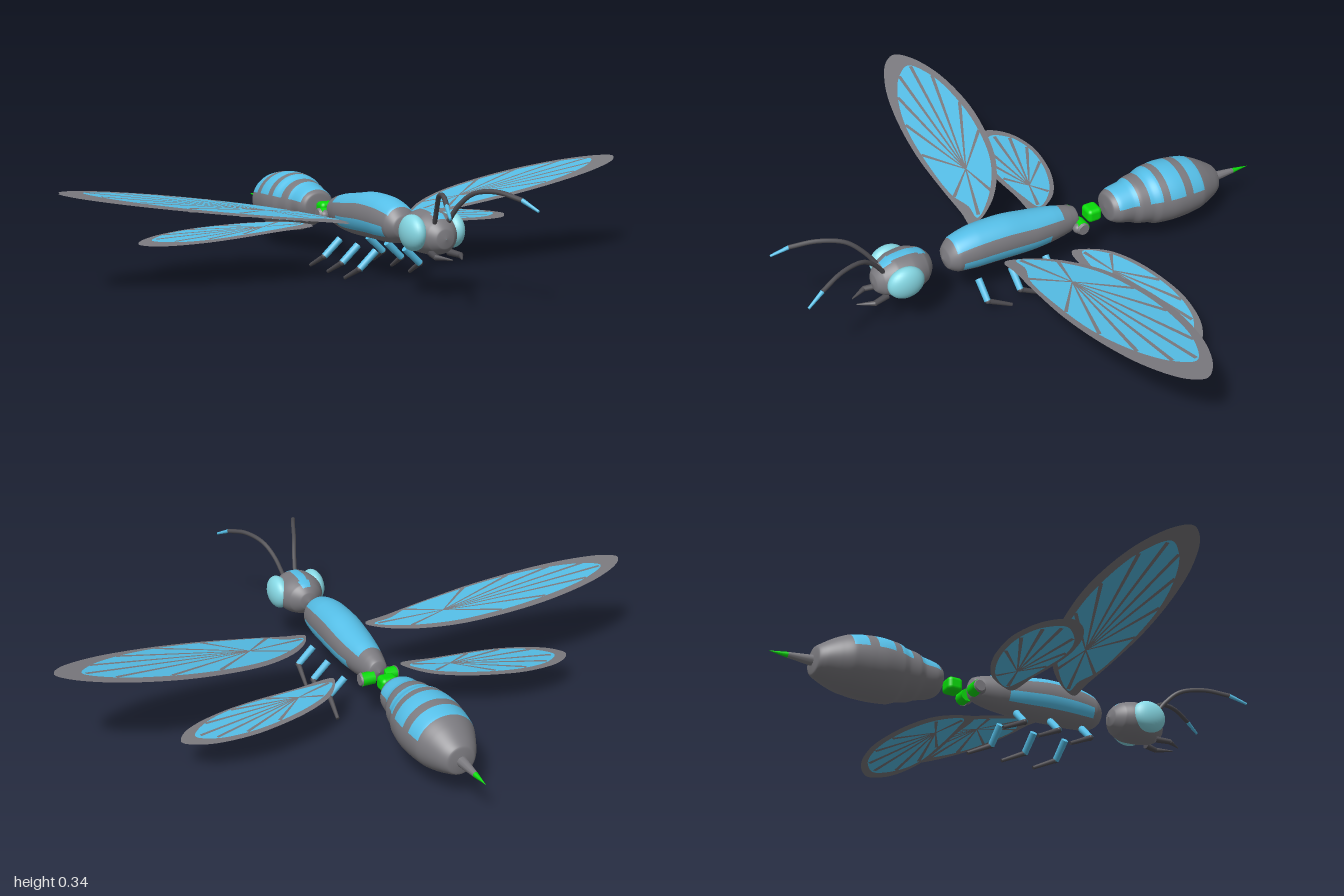
import * as THREE from 'three';
import { RoundedBoxGeometry } from 'three/addons/geometries/RoundedBoxGeometry.js';

const mat = (name, color, side = THREE.FrontSide) => {
  const m = new THREE.MeshStandardMaterial({ color, side });
  m.name = name;
  return m;
};

export function createModel() {
  const model = new THREE.Group();
  const gray = mat('bodyGray', 0x7b7a7f, THREE.DoubleSide);
  const blue = mat('markingBlue', 0x58c4ee, THREE.DoubleSide);
  const dark = mat('limbDark', 0x4e4d52);
  const eyeBlue = mat('eyeBlue', 0x86d8e4);
  const green = mat('jointGreen', 0x08dc08);

  const add = (name, geo, material, parent = model) => {
    const m = new THREE.Mesh(geo, material);
    m.name = name;
    parent.add(m);
    return m;
  };
  const V = (x, y, z) => new THREE.Vector3(x, y, z);

  // Smooth body through sections [z, centre y, half width, half height];
  // isBlue(angle from top, z, x) picks the marked faces.
  const loft = (name, sections, isBlue) => {
    const rows = 100, segs = 64;
    const a = new THREE.CatmullRomCurve3(sections.map(s => V(s[0], s[1], 0)));
    const b = new THREE.CatmullRomCurve3(sections.map(s => V(s[2], s[3], 0)));
    const pos = [], plain = [], marked = [];
    for (let i = 0; i <= rows; i++) {
      const c = a.getPoint(i / rows), r = b.getPoint(i / rows);
      for (let j = 0; j < segs; j++) {
        const t = (j / segs) * Math.PI * 2;
        pos.push(r.x * Math.sin(t), c.y + r.y * Math.cos(t), c.x);
        if (i === rows) continue;
        const p = i * segs + j, q = i * segs + (j + 1) % segs;
        const tm = ((j + 0.5) / segs) * Math.PI * 2;
        const ang = Math.min(tm, Math.PI * 2 - tm) * 180 / Math.PI;
        const list = isBlue(ang, c.x, Math.abs(r.x * Math.sin(tm))) ? marked : plain;
        list.push(p, q, p + segs, q, q + segs, p + segs);
      }
    }
    const g = new THREE.BufferGeometry();
    g.setAttribute('position', new THREE.Float32BufferAttribute(pos, 3));
    g.setIndex([...plain, ...marked]);
    g.addGroup(0, plain.length, 0);
    g.addGroup(plain.length, marked.length, 1);
    g.computeVertexNormals();
    add(name, g, [gray, blue]);
  };

  // Tapered rod between two points
  const rod = (name, p, q, r0, r1, material, parent) => {
    const d = q.clone().sub(p);
    const m = add(name, new THREE.CylinderGeometry(r1, r0, d.length(), 10), material, parent);
    m.position.copy(p).add(q).multiplyScalar(0.5);
    m.quaternion.setFromUnitVectors(V(0, 1, 0), d.normalize());
  };
  const ball = (name, p, s, material, parent) => {
    const m = add(name, new THREE.SphereGeometry(1, 32, 20), material, parent);
    m.position.copy(p);
    m.scale.copy(s);
  };

  // Head, thorax and abdomen
  loft('head', [
    [0.582, 0.185, 0.001, 0.001], [0.576, 0.185, 0.03, 0.03], [0.555, 0.188, 0.052, 0.05],
    [0.51, 0.194, 0.075, 0.066], [0.46, 0.195, 0.08, 0.068], [0.41, 0.195, 0.06, 0.055],
    [0.385, 0.195, 0.03, 0.03], [0.376, 0.195, 0.001, 0.001],
  ], (ang, z, x) => ang < 90 && x < 0.017 && z > 0.4 && z < 0.55);

  // Thorax marks: a saddle on top and a strip low on each flank
  loft('thorax', [
    [0.336, 0.185, 0.001, 0.001], [0.325, 0.185, 0.038, 0.035], [0.295, 0.19, 0.058, 0.06],
    [0.22, 0.195, 0.068, 0.072], [0.12, 0.194, 0.07, 0.074], [0.02, 0.185, 0.066, 0.068],
    [-0.06, 0.18, 0.055, 0.06], [-0.12, 0.177, 0.042, 0.048], [-0.15, 0.177, 0.032, 0.035],
    [-0.163, 0.177, 0.001, 0.001],
  ], (ang, z) => (ang < 55 && z > -0.09 && z < 0.305) || (ang > 98 && ang < 132 && z > -0.03 && z < 0.29));

  const bands = [[-0.36, -0.29], [-0.435, -0.395], [-0.52, -0.465], [-0.6, -0.55]];
  loft('abdomen', [
    [-0.268, 0.168, 0.001, 0.001], [-0.274, 0.168, 0.05, 0.045], [-0.3, 0.167, 0.066, 0.06],
    [-0.345, 0.165, 0.071, 0.071], [-0.37, 0.163, 0.082, 0.081], [-0.41, 0.161, 0.09, 0.088],
    [-0.435, 0.16, 0.1, 0.098], [-0.5, 0.159, 0.109, 0.102], [-0.545, 0.157, 0.107, 0.1],
    [-0.6, 0.154, 0.1, 0.092], [-0.64, 0.149, 0.083, 0.078], [-0.68, 0.143, 0.062, 0.058],
    [-0.7, 0.14, 0.045, 0.045], [-0.708, 0.14, 0.001, 0.001],
  ], (ang, z) => ang < 72 && bands.some(b => z > b[0] && z < b[1]));

  // Stinger and waist joint
  rod('stinger', V(0, 0.14, -0.7), V(0, 0.139, -0.785), 0.018, 0.009, gray);
  rod('stingerTip', V(0, 0.139, -0.785), V(0, 0.138, -0.845), 0.009, 0.0005, green);
  add('waistJoint', new RoundedBoxGeometry(0.058, 0.048, 0.052, 3, 0.014), green).position.set(0, 0.168, -0.218);

  // Wing: flat outline with a blue membrane and veins on both faces
  const wing = (name, side, outline, membrane, node, tips, lift) => {
    const group = new THREE.Group();
    group.name = name;
    model.add(group);
    const plate = (part, shape, off, material) => {
      const g = new THREE.ShapeGeometry(shape);
      const p = g.attributes.position;
      for (let i = 0; i < p.count; i++) {
        const x = p.getX(i), z = p.getY(i);
        p.setXYZ(i, side * x, lift(x, z) + off, z);
      }
      // Face every plate along its own offset
      const ix = g.index.array;
      if ((side > 0) === (off >= 0)) {
        for (let i = 0; i < ix.length; i += 3) [ix[i], ix[i + 1]] = [ix[i + 1], ix[i]];
      }
      g.computeVertexNormals();
      add(part, g, material, group);
    };
    const smooth = pts => new THREE.Shape(
      new THREE.CatmullRomCurve3(pts.map(p => V(p[0], p[1], 0)), true).getPoints(90)
        .slice(0, -1).map(p => new THREE.Vector2(p.x, p.y)));
    const rim = smooth(outline), skin = smooth(membrane);
    for (const f of [1, -1]) {
      plate('wingRim', rim, f * 0.002, gray);
      plate('wingMembrane', skin, f * 0.004, blue);
      for (const t of tips) {
        const a = new THREE.Vector2(...node), b = new THREE.Vector2(...t);
        const d = b.clone().sub(a).normalize(), n = new THREE.Vector2(-d.y, d.x);
        const vein = new THREE.Shape([
          a.clone().addScaledVector(n, -0.002), b.clone().addScaledVector(n, -0.006),
          b.clone().addScaledVector(n, 0.006), a.clone().addScaledVector(n, 0.002)]);
        plate('wingVein', vein, f * 0.0055, gray);
      }
    }
  };

  const foreOutline = [[0.112, 0.172], [0.125, 0.13], [0.2, 0.04], [0.34, -0.045], [0.52, -0.09],
    [0.68, -0.1], [0.86, -0.075], [0.97, -0.025], [1, 0.015], [0.97, 0.06], [0.86, 0.115],
    [0.7, 0.155], [0.5, 0.178], [0.32, 0.178], [0.18, 0.172]];
  const foreSkin = [[0.13, 0.14], [0.2, 0.06], [0.34, -0.025], [0.52, -0.068], [0.68, -0.075],
    [0.83, -0.055], [0.92, -0.005], [0.88, 0.05], [0.78, 0.105], [0.62, 0.15], [0.42, 0.167],
    [0.26, 0.163], [0.19, 0.14]];
  const foreTips = [[0.14, 0.13], [0.22, 0.04], [0.5, -0.066], [0.66, -0.076], [0.83, -0.055],
    [0.91, -0.01], [0.88, 0.05], [0.78, 0.105], [0.64, 0.145], [0.48, 0.165], [0.25, 0.162]];
  const hindOutline = [[0.122, -0.07], [0.13, -0.105], [0.18, -0.175], [0.28, -0.23], [0.42, -0.264],
    [0.5, -0.268], [0.6, -0.25], [0.66, -0.215], [0.68, -0.185], [0.655, -0.14], [0.6, -0.105],
    [0.5, -0.077], [0.4, -0.068], [0.25, -0.07]];
  const hindSkin = [[0.14, -0.1], [0.19, -0.165], [0.29, -0.217], [0.42, -0.249], [0.52, -0.25],
    [0.59, -0.23], [0.635, -0.185], [0.58, -0.122], [0.48, -0.086], [0.36, -0.081], [0.22, -0.086]];
  const hindTips = [[0.15, -0.1], [0.2, -0.17], [0.38, -0.24], [0.49, -0.25], [0.58, -0.23],
    [0.62, -0.19], [0.58, -0.127], [0.48, -0.09], [0.36, -0.084]];

  for (const s of [1, -1]) {
    const side = s > 0 ? 'left' : 'right';
    const P = (x, y, z) => V(s * x, y, z);
    wing(side + 'ForeWing', s, foreOutline, foreSkin, [0.35, 0.065], foreTips,
      (x, z) => 0.19 + 0.141 * (x - 0.112) - 0.05 * (z - 0.03));
    wing(side + 'HindWing', s, hindOutline, hindSkin, [0.27, -0.135], hindTips,
      (x, z) => 0.145 - 0.07 * (x - 0.125) - 0.05 * (z + 0.17));

    // Eye, mandible and antenna
    ball(side + 'Eye', P(0.066, 0.198, 0.495), V(0.034, 0.055, 0.062), eyeBlue);
    rod(side + 'MandibleBase', P(0.03, 0.14, 0.545), P(0.042, 0.137, 0.595), 0.011, 0.009, dark);
    rod(side + 'MandibleTip', P(0.042, 0.137, 0.592), P(0.016, 0.135, 0.645), 0.009, 0.002, dark);
    const feeler = new THREE.CatmullRomCurve3([P(0.022, 0.228, 0.548), P(0.037, 0.285, 0.588),
      P(0.058, 0.325, 0.635), P(0.09, 0.338, 0.715), P(0.125, 0.322, 0.795)]);
    add(side + 'Antenna', new THREE.TubeGeometry(feeler, 24, 0.0075, 8), dark);
    rod(side + 'AntennaTip', P(0.125, 0.322, 0.794), P(0.146, 0.295, 0.85), 0.007, 0.004, blue);

    // Side joints behind the thorax
    rod(side + 'SideJoint', P(0.018, 0.161, -0.153), P(0.06, 0.161, -0.153), 0.022, 0.022, green);
    rod(side + 'SideJointCap', P(0.058, 0.161, -0.151), P(0.066, 0.161, -0.151), 0.023, 0.019, gray);
    ball(side + 'SideJointFront', P(0.044, 0.159, -0.142), V(0.019, 0.018, 0.02), gray);

    // Three legs
    for (const z of [0.235, 0.115, -0.012]) {
      const leg = new THREE.Group();
      leg.name = side + 'Leg';
      model.add(leg);
      rod('upperLeg', P(0.052, 0.1, z), P(0.108, 0.047, z - 0.002), 0.012, 0.011, blue, leg);
      ball('knee', P(0.108, 0.047, z - 0.003), V(0.01, 0.01, 0.01), dark, leg);
      rod('lowerLeg', P(0.108, 0.047, z - 0.003), P(0.117, 0.006, z - 0.085), 0.009, 0.006, dark, leg);
    }
  }
  return model;
}
